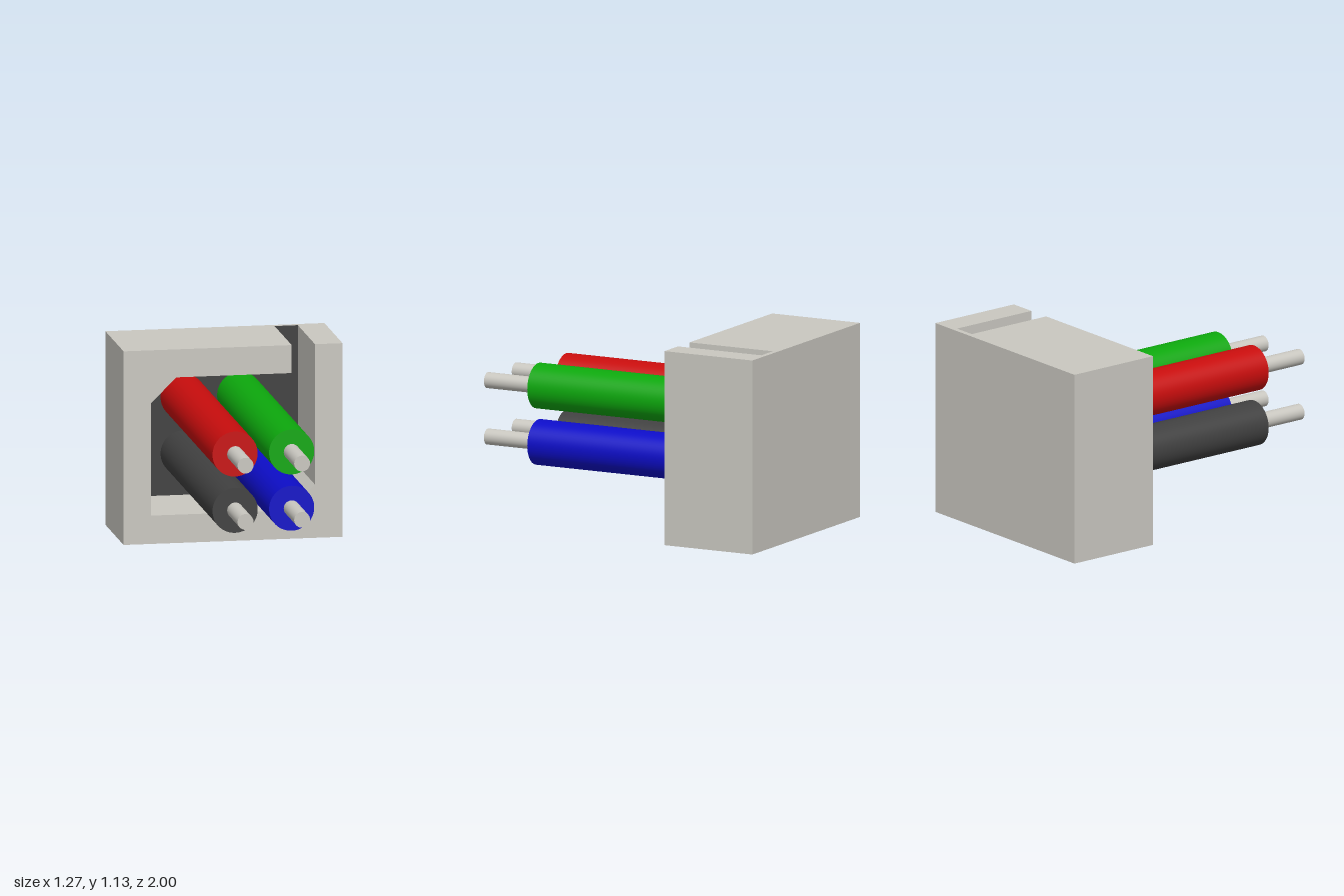
import * as THREE from 'three';

const mat = (name, color) => new THREE.MeshStandardMaterial({ name, color });

const W = 0.635, H = 1.128;             // housing half width and height
const BACK = -1, FLOOR = -0.97, FRONT = -0.427;

// Pocket outline: two chamfered corners and a slot running out of the top
const pocket = [
  [0.34, H], [0.34, 0.965], [-0.33, 0.965], [-0.475, 0.82], [-0.475, 0.165],
  [0.33, 0.165], [0.475, 0.31], [0.475, H],
];
const toShape = (pts) => new THREE.Shape(pts.map(([x, y]) => new THREE.Vector2(x, y)));

export function createModel() {
  const group = new THREE.Group();
  group.name = 'wiredConnector';
  const shell = mat('lightGrey', 0xc9c7c0);
  const dark = mat('darkGrey', 0x404040);
  const red = mat('red', 0xc80d0d);
  const green = mat('green', 0x0da80d);
  const blue = mat('blue', 0x0d0dc8);

  const add = (parent, name, geometry, material) => {
    const mesh = new THREE.Mesh(geometry, material);
    mesh.name = name;
    parent.add(mesh);
    return mesh;
  };

  // Housing: surrounding wall, open at the slot, and a closed back
  const housing = new THREE.Group();
  housing.name = 'housing';
  group.add(housing);
  const outline = [[-W, H], [-W, 0], [W, 0], [W, H], ...[...pocket].reverse()];
  const wall = new THREE.ExtrudeGeometry(toShape(outline), {
    depth: FRONT - FLOOR, bevelEnabled: false,
  });
  add(housing, 'surroundingWall', wall.translate(0, 0, FLOOR), shell);
  const back = new THREE.BoxGeometry(2 * W, H, FLOOR - BACK);
  add(housing, 'backWall', back.translate(0, H / 2, (FLOOR + BACK) / 2), shell);

  // Dark face at the bottom of the pocket
  const face = new THREE.ShapeGeometry(toShape(pocket));
  add(housing, 'pocketFace', face.translate(0, 0, FLOOR + 0.002), dark);

  // Rod along z between two depths
  const rod = (radius, z0, z1, segments) =>
    new THREE.CylinderGeometry(radius, radius, z1 - z0, segments)
      .rotateX(Math.PI / 2).translate(0, 0, (z0 + z1) / 2);

  // Four insulated wires with bare conductor ends
  const wires = [
    ['redWire', -0.19, 0.738, red],
    ['greenWire', 0.138, 0.738, green],
    ['blackWire', -0.19, 0.41, dark],
    ['blueWire', 0.138, 0.41, blue],
  ];
  for (const [name, x, y, material] of wires) {
    const wire = new THREE.Group();
    wire.name = name;
    wire.position.set(x, y, 0);
    add(wire, 'insulation', rod(0.131, FLOOR, 0.67, 64), material);
    add(wire, 'conductor', rod(0.046, 0.66, 1, 48), shell);
    group.add(wire);
  }
  return group;
}
